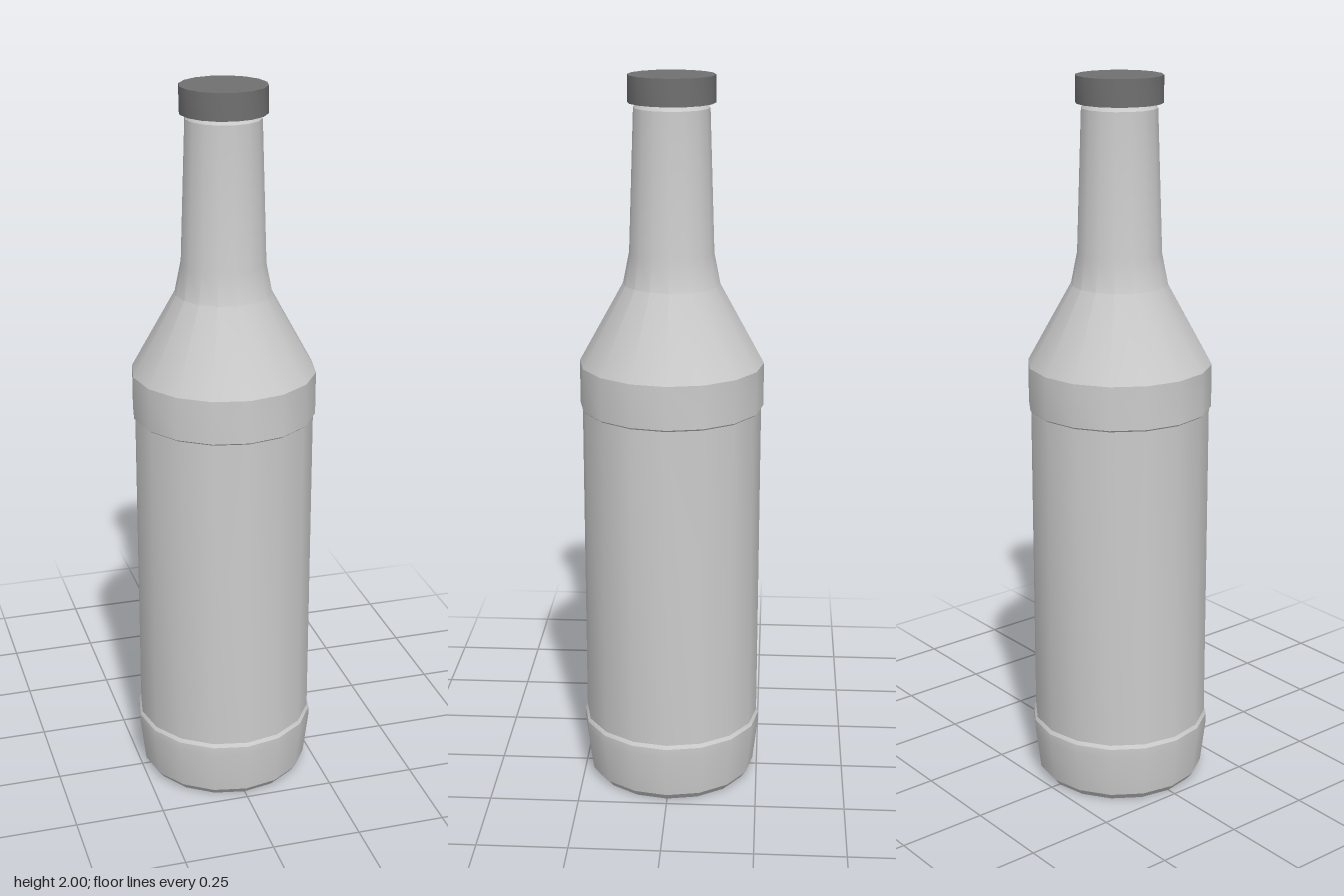
import * as THREE from 'three';
import { toCreasedNormals } from 'three/addons/utils/BufferGeometryUtils.js';

const SIDES = 16;

// Sixteen-sided turned part, smooth around and sharp at strong profile bends
function turned(name, profile, color) {
  const points = profile.map(([r, y]) => new THREE.Vector2(r, y));
  const geometry = toCreasedNormals(new THREE.LatheGeometry(points, SIDES), 0.46);
  const mesh = new THREE.Mesh(geometry, new THREE.MeshStandardMaterial({ color }));
  mesh.name = name;
  return mesh;
}

export function createModel() {
  const group = new THREE.Group();
  group.name = 'bottle';

  // Glass: base, recessed label area, shoulder and neck
  group.add(turned('glassBody', [
    [0, 0], [0.222, 0], [0.238, 0.02],          // base with bevelled rim
    [0.253, 0.145], [0.253, 0.17],              // lower band
    [0.247, 0.18], [0.247, 1.1],                // recessed label area
    [0.253, 1.105], [0.253, 1.225],             // upper band
    [0.132, 1.445], [0.115, 1.53],              // shoulder
    [0.102, 1.915], [0.092, 1.93], [0, 1.93],   // neck and lip
  ], 0xcccccc));

  // Cap
  group.add(turned('cap', [
    [0, 1.928], [0.117, 1.928], [0.117, 2], [0, 2],
  ], 0x707070));

  return group;
}
